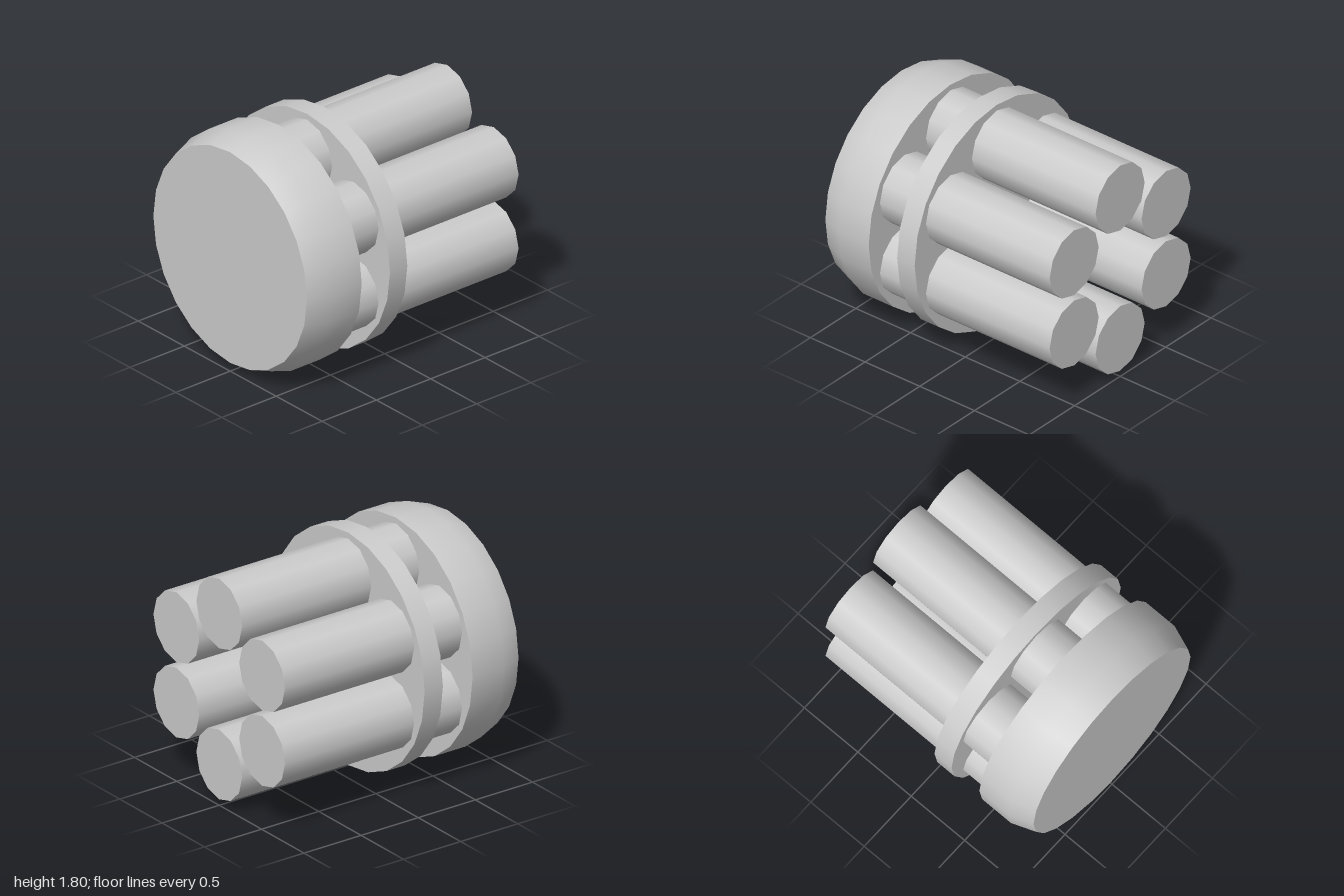
import * as THREE from 'three';

const AXIS_Y = 0.9; // height of the central axis
const material = new THREE.MeshStandardMaterial({ color: 0xcccccc });

function addMesh(parent, geometry, name) {
  const mesh = new THREE.Mesh(geometry, material);
  mesh.name = name;
  parent.add(mesh);
  return mesh;
}

// Cylinder lying along z between z0 and z1
function zCylinder(radius, z0, z1, sides) {
  return new THREE.CylinderGeometry(radius, radius, z1 - z0, sides)
    .rotateX(Math.PI / 2)
    .translate(0, 0, (z0 + z1) / 2);
}

export function createModel() {
  const model = new THREE.Group();
  model.name = 'clusteredTubes';

  // Head: smooth tapered wall closed by flat discs
  const head = new THREE.Group();
  head.name = 'head';
  head.position.y = AXIS_Y;
  model.add(head);
  const profile = [[0.9, 0.55], [0.9, 0.82], [0.835, 1]].map(([r, z]) => new THREE.Vector2(r, z));
  addMesh(head, new THREE.LatheGeometry(profile, 24).rotateX(Math.PI / 2), 'headWall');
  addMesh(head, new THREE.CircleGeometry(0.835, 24).translate(0, 0, 1), 'headFrontFace');
  addMesh(head, new THREE.CircleGeometry(0.9, 24).rotateY(Math.PI).translate(0, 0, 0.55), 'headBackFace');

  // Thin plate that holds the tubes
  addMesh(model, zCylinder(0.9, 0.13, 0.29, 24), 'supportPlate').position.y = AXIS_Y;

  // Six tubes in a ring, running from the head to the back
  const tube = zCylinder(0.27, -1, 0.56, 12);
  for (let i = 0; i < 6; i++) {
    const a = Math.PI / 2 + (i * Math.PI) / 3;
    addMesh(model, tube, `tube${i + 1}`)
      .position.set(0.584 * Math.cos(a), AXIS_Y + 0.584 * Math.sin(a), 0);
  }
  return model;
}
